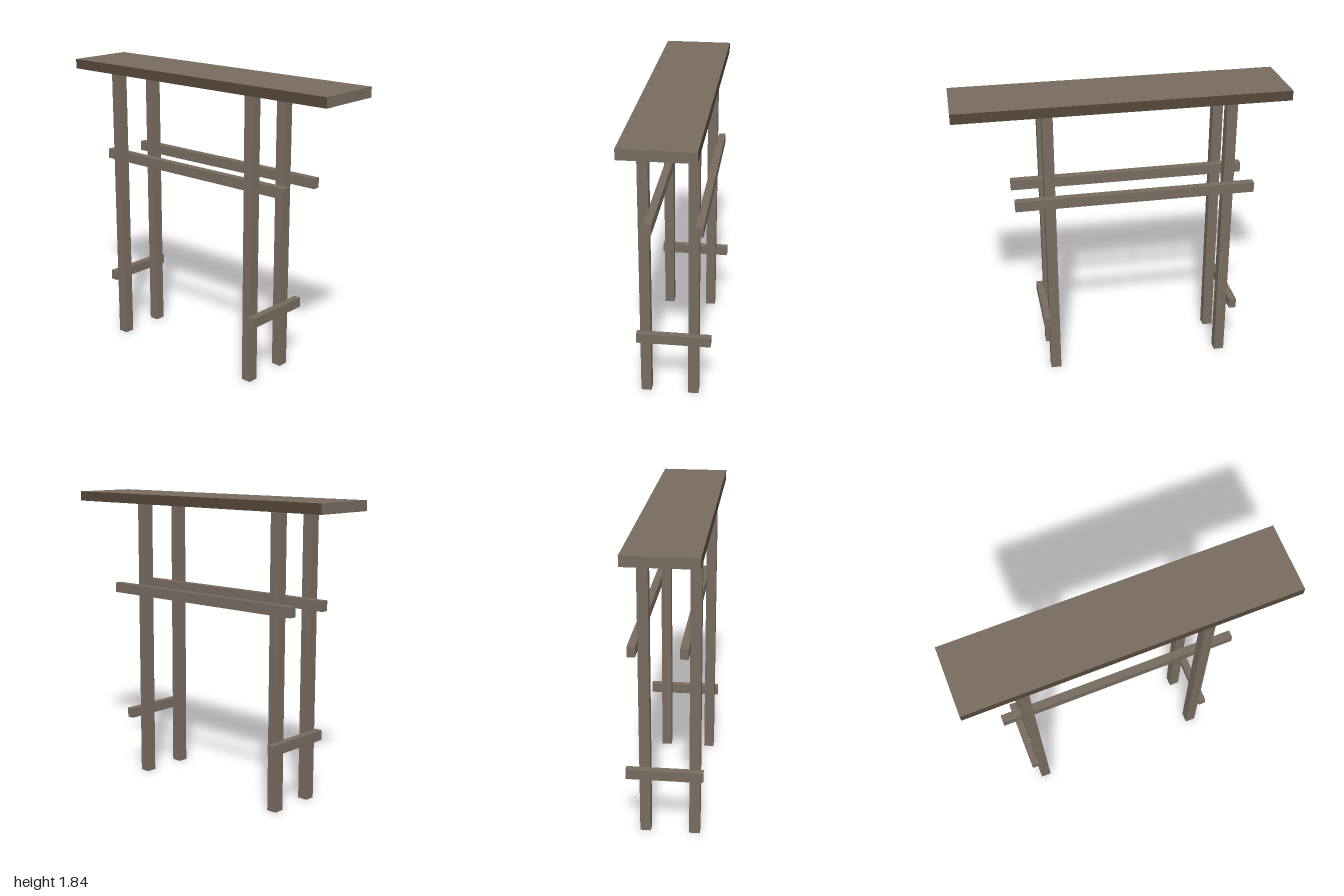
import * as THREE from 'three';

export function createModel() {
  const group = new THREE.Group();
  const wood = new THREE.MeshStandardMaterial({ color: 0x786b5f, side: THREE.DoubleSide });
  wood.name = 'weathered wood';
  const edge = new THREE.MeshStandardMaterial({ color: 0x564738 });
  edge.name = 'dark edge wood';

  // Box given by its min and max corners
  function beam(name, min, max, material = wood) {
    const size = max.map((v, i) => v - min[i]);
    const mesh = new THREE.Mesh(new THREE.BoxGeometry(...size), material);
    mesh.position.set(...max.map((v, i) => (v + min[i]) / 2));
    mesh.name = name;
    group.add(mesh);
    return mesh;
  }

  // Table top with darker long sides (+x and -x faces)
  beam('tableTop', [-0.23, 1.774, -1], [0.193, 1.835, 1], [edge, edge, wood, wood, wood, wood]);

  // Four hollow square legs, open at the foot
  for (const [side, x] of [['Right', -0.178], ['Left', 0.119]]) {
    for (const [end, z] of [['front', 0.452], ['back', -0.648]]) {
      const leg = beam(`${end}${side}Leg`, [x - 0.032, 0, z - 0.032], [x + 0.032, 1.774, z + 0.032]);
      const index = Array.from(leg.geometry.index.array);
      index.splice(18, 6); // bottom face
      leg.geometry.setIndex(index);
      leg.geometry.clearGroups();
    }
  }

  // Long rails fixed to the left-hand face of each leg pair
  beam('rightLongRail', [-0.15, 1.19, -0.8], [-0.102, 1.253, 0.664]);
  beam('leftLongRail', [0.146, 1.19, -0.8], [0.192, 1.253, 0.664]);

  // Short cross rails on the outer end of each leg pair
  beam('frontCrossRail', [-0.23, 0.374, 0.48], [0.228, 0.436, 0.525]);
  beam('backCrossRail', [-0.23, 0.374, -0.722], [0.228, 0.436, -0.677]);

  return group;
}
